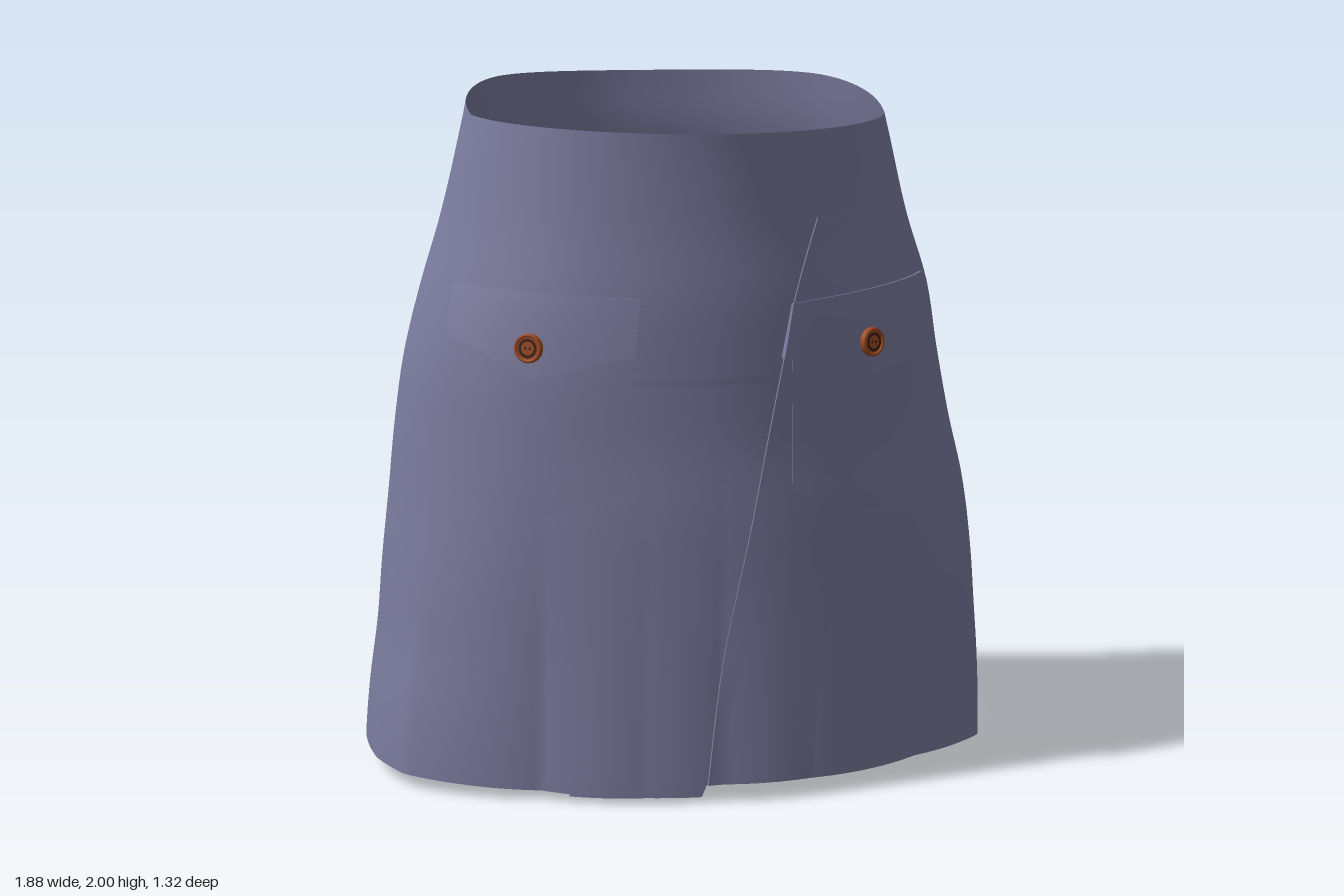
import * as THREE from 'three';
import { mergeVertices, toCreasedNormals } from 'three/addons/utils/BufferGeometryUtils.js';

const { lerp, clamp, smoothstep } = THREE.MathUtils;
const CZ = 0.06; // z of the axis the sections are measured from

// Half-widths of the cloth, every 0.2 of height from the hem up
const LEFT = [0.86, 0.865, 0.87, 0.87, 0.85, 0.805, 0.765, 0.73, 0.665, 0.615, 0.57];
const RIGHT = [0.945, 0.93, 0.905, 0.89, 0.87, 0.85, 0.82, 0.77, 0.71, 0.66, 0.62];
const FRONT = [0.65, 0.645, 0.64, 0.635, 0.63, 0.62, 0.62, 0.62, 0.61, 0.612, 0.625];
const BACK = [0.60, 0.60, 0.59, 0.58, 0.56, 0.55, 0.545, 0.485, 0.395, 0.355, 0.36];

// Folded outline of the hem as [x, z], turned into [angle, radius]
const HEM = [
  [0, 0.645], [0.25, 0.645], [0.6, 0.5], [0.85, 0.33], [0.86, 0.1], [0.94, -0.03], [0.76, -0.2],
  [0.64, -0.38], [0.635, -0.52], [0.56, -0.63], [0.48, -0.645], [0.2, -0.605], [-0.03, -0.56],
  [-0.2, -0.6], [-0.4, -0.66], [-0.51, -0.66], [-0.6, -0.48], [-0.68, -0.38], [-0.87, -0.26],
  [-0.935, -0.14], [-0.935, 0.2], [-0.87, 0.35], [-0.5, 0.535], [-0.22, 0.63],
].map(([x, z]) => [Math.atan2(x, z - CZ), Math.hypot(x, z - CZ)]).sort((a, b) => a[0] - b[0]);

function sample(table, y) {
  const f = clamp(y / 0.2, 0, table.length - 1.001), i = Math.floor(f), t = f - i;
  const p = (k) => table[clamp(k, 0, table.length - 1)];
  const a = p(i - 1), b = p(i), c = p(i + 1), d = p(i + 2);
  return b + 0.5 * t * (c - a + t * (2 * a - 5 * b + 4 * c - d + t * (3 * (b - c) + d - a)));
}

function hemRadius(angle) {
  const n = HEM.length;
  for (let i = 0; i <= n; i++) {
    const a = i === 0 ? [HEM[n - 1][0] - 2 * Math.PI, HEM[n - 1][1]] : HEM[i - 1];
    const b = i === n ? [HEM[0][0] + 2 * Math.PI, HEM[0][1]] : HEM[i];
    if (angle <= b[0]) return lerp(a[1], b[1], (angle - a[0]) / (b[0] - a[0]));
  }
  return HEM[0][1];
}

// Rounded section without folds, squarer at the back of the hips
function roundRadius(angle, y) {
  const s = Math.sin(angle), c = Math.cos(angle);
  const a = sample(s > 0 ? LEFT : RIGHT, y);
  const b = c > 0 ? sample(FRONT, y) - CZ : sample(BACK, y) + CZ;
  const square = 0.7 - 0.35 * smoothstep(y, 1.4, 1.9);
  const n = 1.94 + (c > 0 ? 0 : square * Math.min(1, -c * 2));
  return Math.pow(Math.pow(Math.abs(s) / a, n) + Math.pow(Math.abs(c) / b, n), -1 / n);
}

// Point on the cloth: the folds of the hem fade out upwards
function cloth(angle, y) {
  const fold = 0.5 + 0.5 * Math.cos(Math.PI * clamp(y / 1.1, 0, 1));
  const r = roundRadius(angle, y) * lerp(1, hemRadius(angle) / roundRadius(angle, 0), fold);
  return new THREE.Vector3(r * Math.sin(angle), y, CZ + r * Math.cos(angle));
}

// Point on the front of the cloth at a given x and y
function frontPoint(x, y) {
  let lo = -1.45, hi = 1.45;
  for (let i = 0; i < 30; i++) {
    const mid = (lo + hi) / 2;
    if (cloth(mid, y).x < x) lo = mid; else hi = mid;
  }
  return cloth(lo, y);
}

function frontNormal(x, y) {
  const e = 0.025;
  const dx = frontPoint(x + e, y).sub(frontPoint(x - e, y));
  const dy = frontPoint(x, y + e).sub(frontPoint(x, y - e));
  return dx.cross(dy).normalize();
}

function grid(fn, nu, nv) {
  const pos = [], index = [];
  for (let j = 0; j <= nv; j++) for (let i = 0; i <= nu; i++) pos.push(...fn(i, j).toArray());
  for (let j = 0; j < nv; j++) for (let i = 0; i < nu; i++) {
    const a = j * (nu + 1) + i, b = a + 1, c = a + nu + 1, d = c + 1;
    index.push(a, b, d, a, d, c);
  }
  const g = new THREE.BufferGeometry();
  g.setAttribute('position', new THREE.Float32BufferAttribute(pos, 3));
  g.setIndex(index);
  return g;
}

// Cloth patch on the front; its outer ring of vertices is tucked down to form the edge
function patch(at, lift, nu, nv) {
  const g = grid((i, j) => {
    const u = clamp((i - 1) / (nu - 2), 0, 1), v = clamp((j - 1) / (nv - 2), 0, 1);
    const [x, y] = at(u, v), h = lift(u, v);
    const rim = i === 0 || j === 0 || i === nu || j === nv;
    return frontPoint(x, y).addScaledVector(frontNormal(x, y), rim ? Math.min(h, 0.001) : h);
  }, nu, nv);
  return toCreasedNormals(g, 0.7);
}

// Patch outline with a straight top and a pointed bottom: corners are [x, y]
function pointed([tl, tr, bl, br, tip]) {
  return (u, v) => {
    const k = (tip[0] - bl[0]) / (br[0] - bl[0]);
    const low = u < k ? lerp(bl[1], tip[1], u / k) : lerp(tip[1], br[1], (u - k) / (1 - k));
    return [lerp(lerp(bl[0], br[0], u), lerp(tl[0], tr[0], u), v), lerp(low, lerp(tl[1], tr[1], u), v)];
  };
}

// Height of the waist edge: low in front, curving up to the back
function waist(angle) {
  const z = cloth(angle, 1.93).z;
  return z > 0.15 ? 1.9 - 0.07 * (z - 0.15) : 1.9 + 0.1 * Math.sin(Math.PI / 2 * Math.min(1, (0.15 - z) / 0.5));
}

// Height of the hem: lower on the right front half, which ends at the wrap edge
function hem(angle) {
  const c = Math.cos(angle);
  if (c < 0) return 0.05 + 0.045 * c * c;
  return angle < -0.08 ? 0.05 - 0.035 * c : 0.05;
}

export function createModel() {
  const fabric = new THREE.MeshStandardMaterial({ color: 0x7a7a9d, side: THREE.DoubleSide });
  fabric.name = 'slateFabric';
  const copper = new THREE.MeshStandardMaterial({ color: 0x9c4a22 });
  copper.name = 'copperButton';
  const dark = new THREE.MeshStandardMaterial({ color: 0x3c1c10 });
  dark.name = 'darkButtonCentre';

  const model = new THREE.Group();
  model.name = 'wrapSkirt';
  const add = (name, geometry, material = fabric, parent = model) => {
    const mesh = new THREE.Mesh(geometry, material);
    mesh.name = name;
    parent.add(mesh);
    return mesh;
  };

  // Skirt body, with the sharp side fold kept crisp
  const around = 240, rows = 48;
  const body = mergeVertices(grid((i, j) => {
    const angle = -Math.PI + (2 * Math.PI * (i % around)) / around;
    return cloth(angle, lerp(hem(angle), waist(angle), j / rows));
  }, around, rows), 1e-5);
  add('skirtBody', toCreasedNormals(body, 0.9));

  // Wrap panel whose free edge sweeps diagonally down the front
  const edge = new THREE.SplineCurve([[-0.045, 0.05], [0, 0.4], [0.085, 0.8], [0.17, 1.22], [0.21, 1.42], [0.28, 1.63]]
    .map(([x, y]) => new THREE.Vector2(x, y)));
  add('wrapPanel', patch((u, v) => {
    const p = edge.getPoint(v);
    return [p.x + 0.3 * u, p.y];
  }, (u, v) => lerp(0.012, 0.001, u) * (1 - 0.5 * v), 14, 32));

  // Underlap hanging a little inside the front
  add('underlap', patch((u, v) => {
    const x = lerp(-0.44, 0.3, u);
    return [x, lerp(x < -0.03 ? 0 : 0.055, 1.2, v)];
  }, (u, v) => lerp(-0.05, 0.001, v), 38, 24));

  // Pockets, flaps and buttons
  const sides = [
    { name: 'left',
      pocket: [[0.2, 1.39], [0.64, 1.41], [0.2, 0.87], [0.685, 0.88], [0.47, 0.79]],
      flap: [[0.2, 1.4], [0.655, 1.44], [0.17, 1.25], [0.655, 1.23], [0.45, 1.185]],
      button: [0.437, 1.275] },
    { name: 'right',
      pocket: [[-0.68, 1.41], [-0.235, 1.4], [-0.735, 0.88], [-0.255, 0.88], [-0.53, 0.8]],
      flap: [[-0.69, 1.44], [-0.22, 1.42], [-0.705, 1.3], [-0.235, 1.265], [-0.505, 1.195]],
      button: [-0.507, 1.28] },
  ];
  for (const { name, pocket, flap, button } of sides) {
    add(name + 'Pocket', patch(pointed(pocket), (u, v) => 0.009 + 0.007 * Math.sin(Math.PI * u) * v * (2 - 2 * v), 16, 16));
    add(name + 'PocketFlap', patch(pointed(flap), (u, v) => 0.024 - 0.011 * v, 16, 10));

    const group = new THREE.Group();
    group.name = name + 'Button';
    const normal = frontNormal(...button);
    group.position.copy(frontPoint(...button)).addScaledVector(normal, 0.025);
    group.quaternion.setFromUnitVectors(new THREE.Vector3(0, 0, 1), normal);
    add('buttonDisc', new THREE.CylinderGeometry(0.041, 0.041, 0.012, 24).rotateX(Math.PI / 2), copper, group);
    add('buttonRim', new THREE.TorusGeometry(0.036, 0.005, 8, 24), copper, group).position.z = 0.006;
    add('buttonGroove', new THREE.RingGeometry(0.019, 0.027, 24), dark, group).position.z = 0.008;
    for (const x of [-0.007, 0.007]) {
      add('buttonHole', new THREE.CircleGeometry(0.004, 8), dark, group).position.set(x, 0, 0.008);
    }
    model.add(group);
  }
  return model;
}
